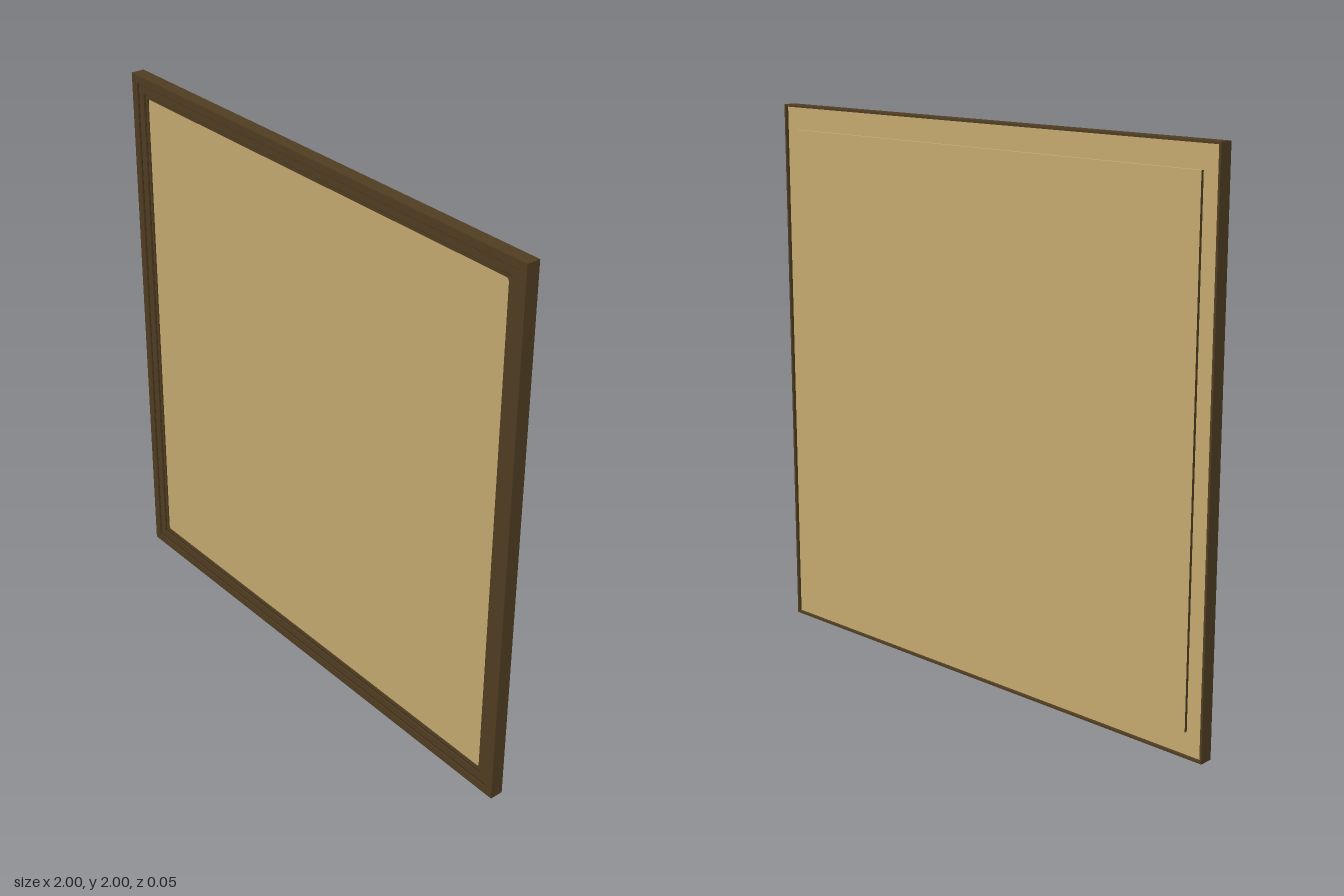
import * as THREE from 'three';

const mat = (name, color) => {
  const m = new THREE.MeshStandardMaterial({ color });
  m.name = name;
  return m;
};

// Rectangle outline centred on the origin, with optional rounded corners
function outline(path, h, r = 0) {
  if (r === 0) {
    path.moveTo(-h, -h).lineTo(h, -h).lineTo(h, h).lineTo(-h, h).closePath();
    return path;
  }
  path.moveTo(-h + r, -h);
  path.lineTo(h - r, -h).quadraticCurveTo(h, -h, h, -h + r);
  path.lineTo(h, h - r).quadraticCurveTo(h, h, h - r, h);
  path.lineTo(-h + r, h).quadraticCurveTo(-h, h, -h, h - r);
  path.lineTo(-h, -h + r).quadraticCurveTo(-h, -h, -h + r, -h);
  return path;
}

export function createModel() {
  const model = new THREE.Group();
  model.name = 'framedBoard';
  const wood = mat('dark wood', 0x523f23);
  const crease = mat('wood crease', 0x3b2c17);
  const board = mat('tan board', 0xc9ae72);

  const add = (name, geometry, material, x, y, z) => {
    const mesh = new THREE.Mesh(geometry, material);
    mesh.name = name;
    mesh.position.set(x, y, z);
    model.add(mesh);
  };

  // Square ring between two half-sizes and two depths
  const ring = (name, material, outer, inner, z0, z1, r = 0) => {
    const shape = outline(new THREE.Shape(), outer);
    shape.holes.push(outline(new THREE.Path(), inner, r));
    const g = new THREE.ExtrudeGeometry(shape, { depth: z1 - z0, bevelEnabled: false, curveSegments: 6 });
    add(name, g, material, 0, 1, z0);
  };

  // Frame mouldings stepping down towards the opening
  ring('backRim', wood, 1, 0.992, -0.025, -0.01);
  ring('outerMoulding', wood, 1, 0.97, -0.01, 0.025);
  ring('middleMoulding', wood, 0.97, 0.938, -0.01, 0.02);
  ring('innerMoulding', wood, 0.938, 0.922, -0.01, 0.015, 0.014);

  // Thin shadow creases at each step
  ring('outerCrease', crease, 0.97, 0.966, 0.019, 0.0205);
  ring('innerCrease', crease, 0.938, 0.934, 0.014, 0.0155);

  // Board face in the opening and the recessed backing
  add('boardFace', new THREE.BoxGeometry(1.87, 1.87, 0.016), board, 0, 1, 0.002);
  add('backing', new THREE.BoxGeometry(1.984, 1.984, 0.009), board, 0, 1, -0.0095);

  // Raised back panel with dark left and right edges
  add('backPanel', new THREE.BoxGeometry(1.86, 1.82, 0.012),
    [wood, wood, board, board, board, board], 0, 1, -0.019);

  return model;
}
